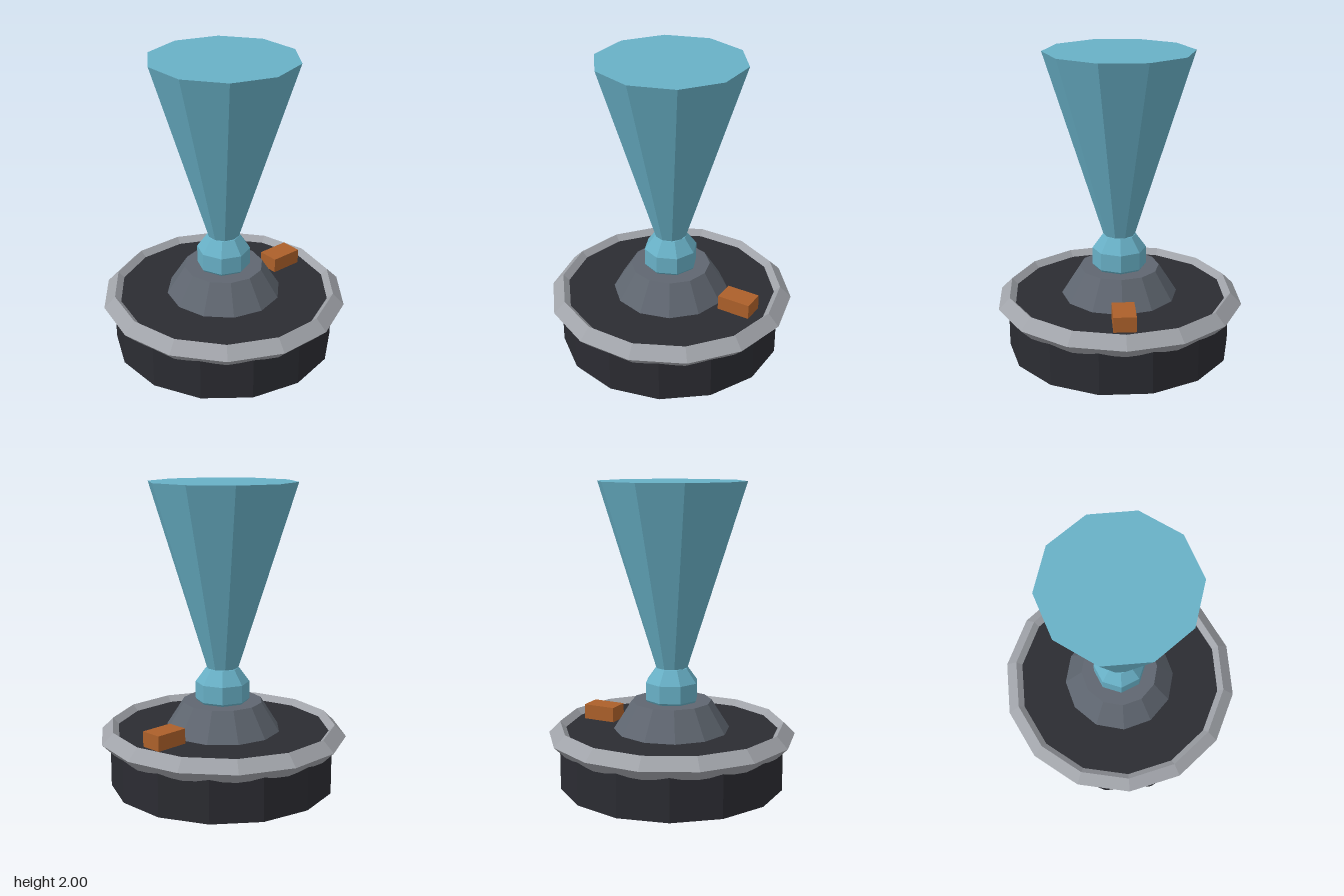
import * as THREE from 'three';

export function createModel() {
  const model = new THREE.Group();

  const add = (name, geometry, color, x, y) => {
    const mesh = new THREE.Mesh(
      geometry,
      new THREE.MeshStandardMaterial({ color, flatShading: true })
    );
    mesh.name = name;
    mesh.position.set(x, y, 0);
    model.add(mesh);
  };
  const blue = 0x68b0c6;

  // Base drum and the faceted ring around its upper edge
  add('baseDrum', new THREE.CylinderGeometry(0.745, 0.745, 0.375, 14), 0x2b2c32, 0, 0.1875);
  add('rimRing', new THREE.TorusGeometry(0.745, 0.075, 4, 14).rotateX(Math.PI / 2), 0xa0a3a9, 0, 0.34);

  // Sloped collar sitting on the drum
  add('collar', new THREE.CylinderGeometry(0.265, 0.385, 0.19, 12), 0x5f6670, 0, 0.47);

  // Ball joint and flared beam above it
  add('ballJoint', new THREE.SphereGeometry(0.187, 8, 5), blue, 0, 0.636);
  add('flaredBeam', new THREE.CylinderGeometry(0.485, 0.105, 1.21, 10), blue, 0, 1.395);

  // Small block on the model's left side
  add('controlBlock', new THREE.BoxGeometry(0.225, 0.105, 0.145), 0xac602a, 0.521, 0.4225);

  return model;
}
